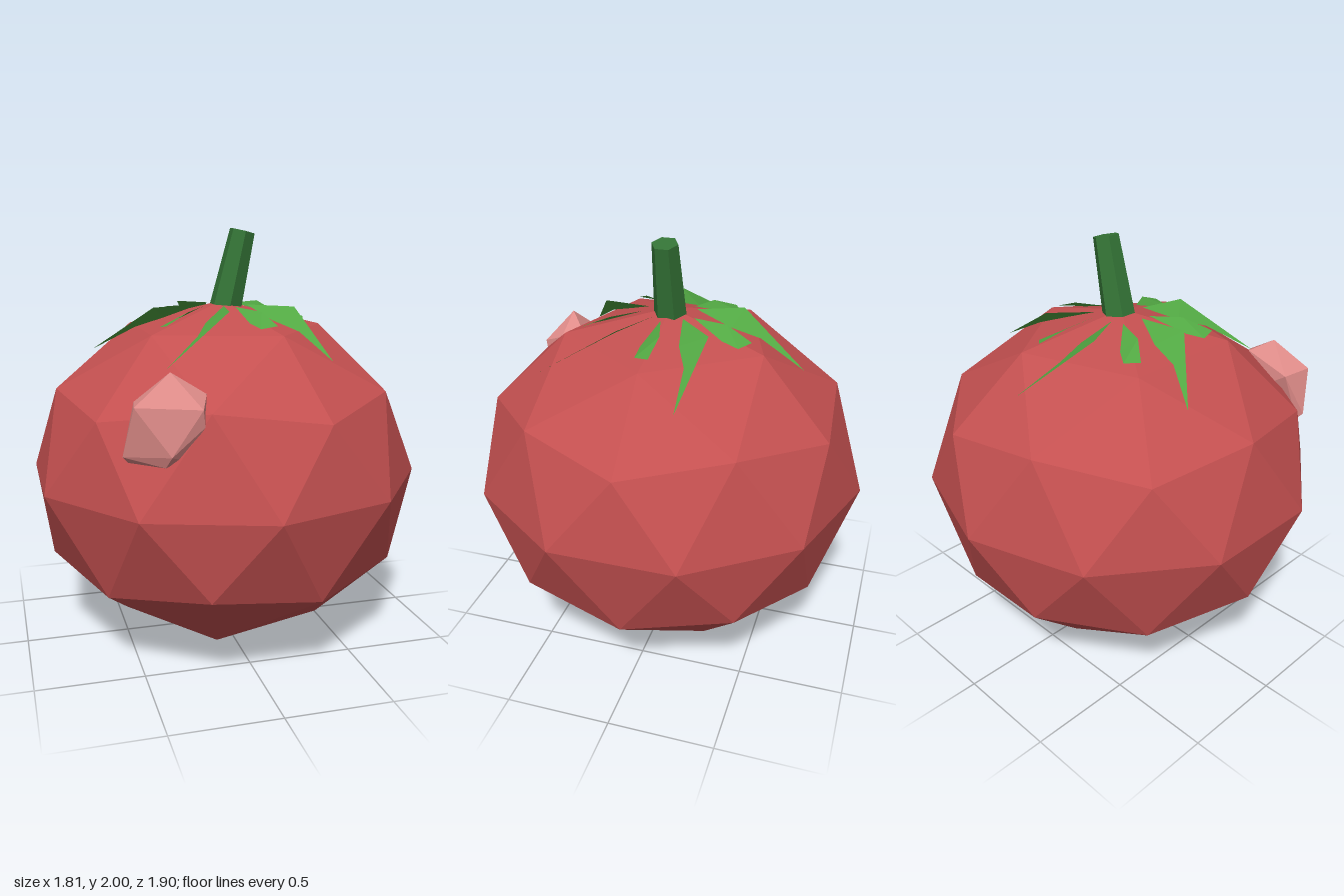
import * as THREE from 'three';
import { ConvexGeometry } from 'three/addons/geometries/ConvexGeometry.js';

const V = (x, y, z) => new THREE.Vector3(x, y, z);

// Pointed leaf sheet. Points are [side, outward, height]; the fan starts at the raised corner.
function leafGeometry(points) {
  const positions = [];
  for (let i = 1; i < points.length - 1; i++) {
    for (const [side, out, y] of [points[0], points[i], points[i + 1]]) positions.push(-side, y, -out);
  }
  const geometry = new THREE.BufferGeometry();
  geometry.setAttribute('position', new THREE.Float32BufferAttribute(positions, 3));
  geometry.computeVertexNormals();
  return geometry;
}

export function createModel() {
  const model = new THREE.Group();
  model.name = 'tomato';

  const material = (name, color, side = THREE.FrontSide) =>
    new THREE.MeshStandardMaterial({ name, color, side, flatShading: true });
  const red = material('tomatoRed', 0xc45050);
  const pink = material('highlightPink', 0xdf8c89);
  const leafGreen = material('leafGreen', 0x52a843, THREE.DoubleSide);
  const stemGreen = material('stemGreen', 0x347436);

  const add = (name, geometry, mat) => {
    const mesh = new THREE.Mesh(geometry, mat);
    mesh.name = name;
    model.add(mesh);
    return mesh;
  };

  // Body: squashed faceted ball with a corner at each pole
  const golden = (1 + Math.sqrt(5)) / 2;
  const body = new THREE.IcosahedronGeometry(1, 1);
  body.rotateZ(-Math.atan(1 / golden));
  body.scale(0.95, 0.83, 0.95);
  body.translate(0, 0.83, 0);
  body.computeVertexNormals();
  add('body', body, red);

  // Stem: tapered six-sided stalk leaning to one side
  const base = V(0.012, 1.61, 0), top = V(0.1, 1.987, 0);
  const axis = top.clone().sub(base);
  const stem = add('stem', new THREE.CylinderGeometry(0.062, 0.08, axis.length(), 6), stemGreen);
  stem.position.copy(base).add(top).multiplyScalar(0.5);
  stem.rotation.z = -Math.atan2(axis.x, axis.y);

  // Leaves: five long and five short, each with its inner edge sunk in the body
  const longLeaf = leafGeometry([
    [0.155, 0.315, 1.637], [0.05, 0.11, 1.643], [0.027, 0.28, 1.58],
    [0.045, 0.42, 1.535], [-0.005, 0.64, 1.42],
  ]);
  const shortLeaf = leafGeometry([
    [0.118, 0.262, 1.625], [0.03, 0.13, 1.638], [0.047, 0.31, 1.578],
    [0.075, 0.39, 1.56], [0.152, 0.396, 1.572],
  ]);
  for (let i = 0; i < 5; i++) {
    const turn = (i * Math.PI * 2) / 5;
    add('longLeaf', longLeaf, leafGreen).rotation.y = turn;
    add('shortLeaf', shortLeaf, leafGreen).rotation.y = turn - Math.PI / 5;
  }

  // Highlight: faceted lump on the upper front
  add('highlight', new ConvexGeometry([
    V(-0.4, 1.43, 0.67), V(-0.565, 1.305, 0.745), V(-0.29, 1.29, 0.79),
    V(-0.25, 1.335, 0.68), V(-0.31, 1.37, 0.59), V(-0.54, 1.3, 0.59),
    V(-0.605, 1.09, 0.68), V(-0.42, 1.1, 0.785), V(-0.28, 1.215, 0.775),
    V(-0.58, 1.06, 0.66), V(-0.44, 1.05, 0.75), V(-0.37, 1.08, 0.75),
    V(-0.42, 1.22, 0.575),
  ]), pink);

  return model;
}
